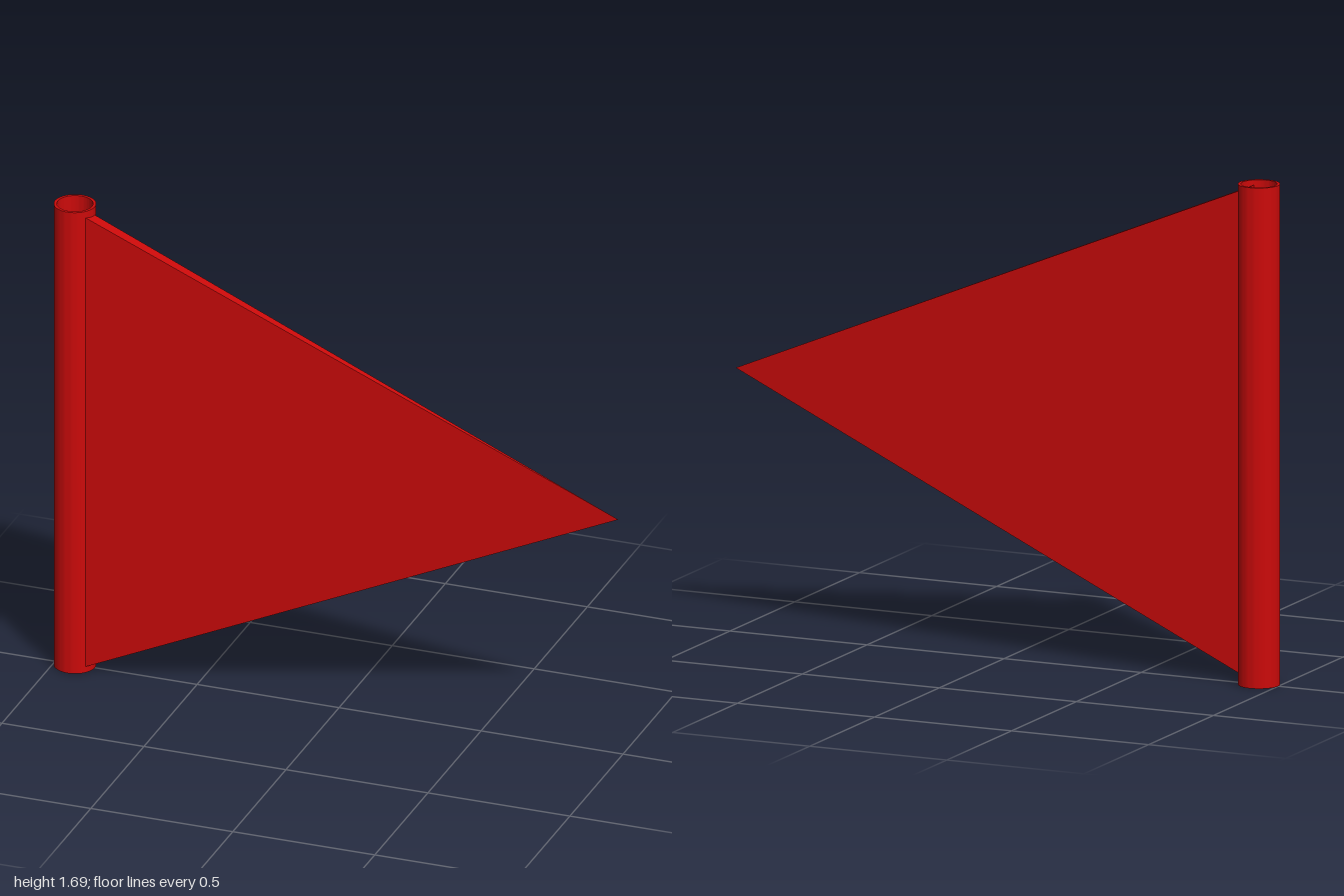
import * as THREE from 'three';
import { toCreasedNormals } from 'three/addons/utils/BufferGeometryUtils.js';
import { ConvexGeometry } from 'three/addons/geometries/ConvexGeometry.js';

const HEIGHT = 1.69;
const OUTER = 0.07;
const INNER = 0.06;

// Hollow upright sleeve, open at both ends
function sleeveGeometry() {
  const ring = new THREE.Shape().absarc(0, 0, OUTER, 0, Math.PI * 2);
  ring.holes.push(new THREE.Path().absarc(0, 0, INNER, 0, Math.PI * 2, true));
  const geometry = new THREE.ExtrudeGeometry(ring, {
    depth: HEIGHT, bevelEnabled: false, curveSegments: 32,
  });
  geometry.rotateX(-Math.PI / 2);
  return toCreasedNormals(geometry, 0.7);
}

// Triangular pennant: flat front, back face tapering to a sharp tip
function pennantGeometry() {
  const rootX = -0.89, front = 0.045, back = 0;
  const points = [new THREE.Vector3(1, 0.88, front)];
  for (const y of [0.015, 1.673])
    for (const z of [back, front]) points.push(new THREE.Vector3(rootX, y, z));
  return new ConvexGeometry(points);
}

export function createModel() {
  const group = new THREE.Group();
  group.name = 'pennantFlag';
  const red = new THREE.MeshStandardMaterial({ color: 0xcc0a0a });

  const sleeve = new THREE.Mesh(sleeveGeometry(), red);
  sleeve.name = 'poleSleeve';
  sleeve.position.x = -1 + OUTER;

  const pennant = new THREE.Mesh(pennantGeometry(), red);
  pennant.name = 'pennant';

  group.add(sleeve, pennant);
  return group;
}
